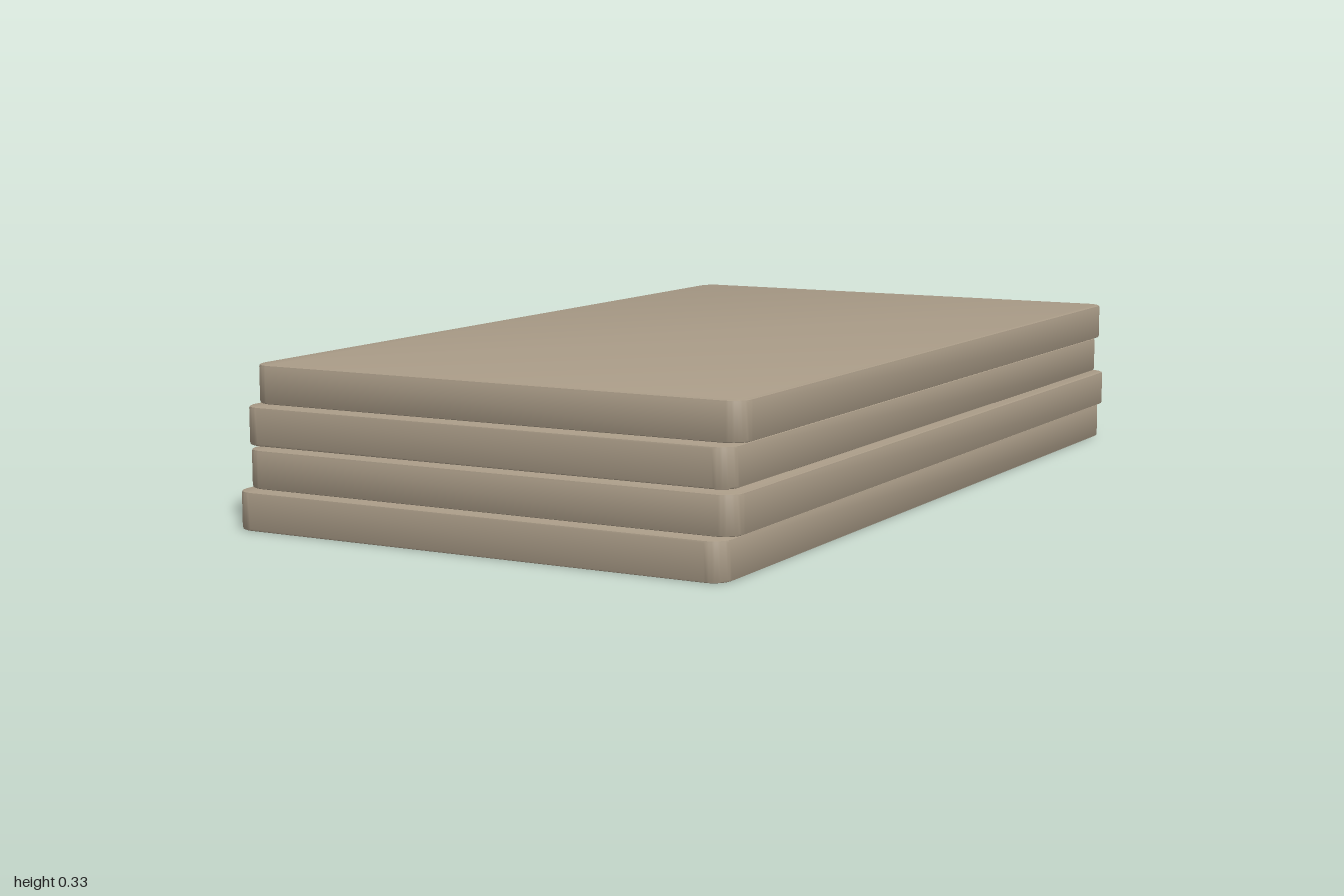
import * as THREE from 'three';
import { toCreasedNormals } from 'three/addons/utils/BufferGeometryUtils.js';

const WIDTH = 1.108, THICKNESS = 0.079, STEP = 0.0835, RADIUS = 0.04, BEVEL = 0.005;

// Flat slab with rounded corners and a fine bevel, resting on y = 0
function slabGeometry(width, length) {
  const x = width / 2 - BEVEL, y = length / 2 - BEVEL, r = RADIUS - BEVEL;
  const outline = new THREE.Shape();
  outline.absarc(x - r, y - r, r, 0, Math.PI / 2);
  outline.absarc(-x + r, y - r, r, Math.PI / 2, Math.PI);
  outline.absarc(-x + r, -y + r, r, Math.PI, Math.PI * 1.5);
  outline.absarc(x - r, -y + r, r, Math.PI * 1.5, Math.PI * 2);
  outline.closePath();
  const geometry = new THREE.ExtrudeGeometry(outline, {
    depth: THICKNESS - 2 * BEVEL,
    bevelThickness: BEVEL,
    bevelSize: BEVEL,
    bevelSegments: 2,
    curveSegments: 6,
  });
  geometry.translate(0, 0, BEVEL).rotateX(-Math.PI / 2);
  return toCreasedNormals(geometry, 0.6);
}

export function createModel() {
  const model = new THREE.Group();
  model.name = 'slabStack';
  const stone = new THREE.MeshStandardMaterial({ color: 0xa89a86 });
  stone.name = 'warm stone';

  // Four slabs, each shorter than the one below and shifted to alternate sides
  for (let i = 0; i < 4; i++) {
    const slab = new THREE.Mesh(slabGeometry(WIDTH, 2 - i * 0.03), stone);
    slab.name = `slab${i + 1}`;
    slab.position.set(i % 2 ? 0.008 : -0.008, i * STEP, 0);
    model.add(slab);
  }
  return model;
}
